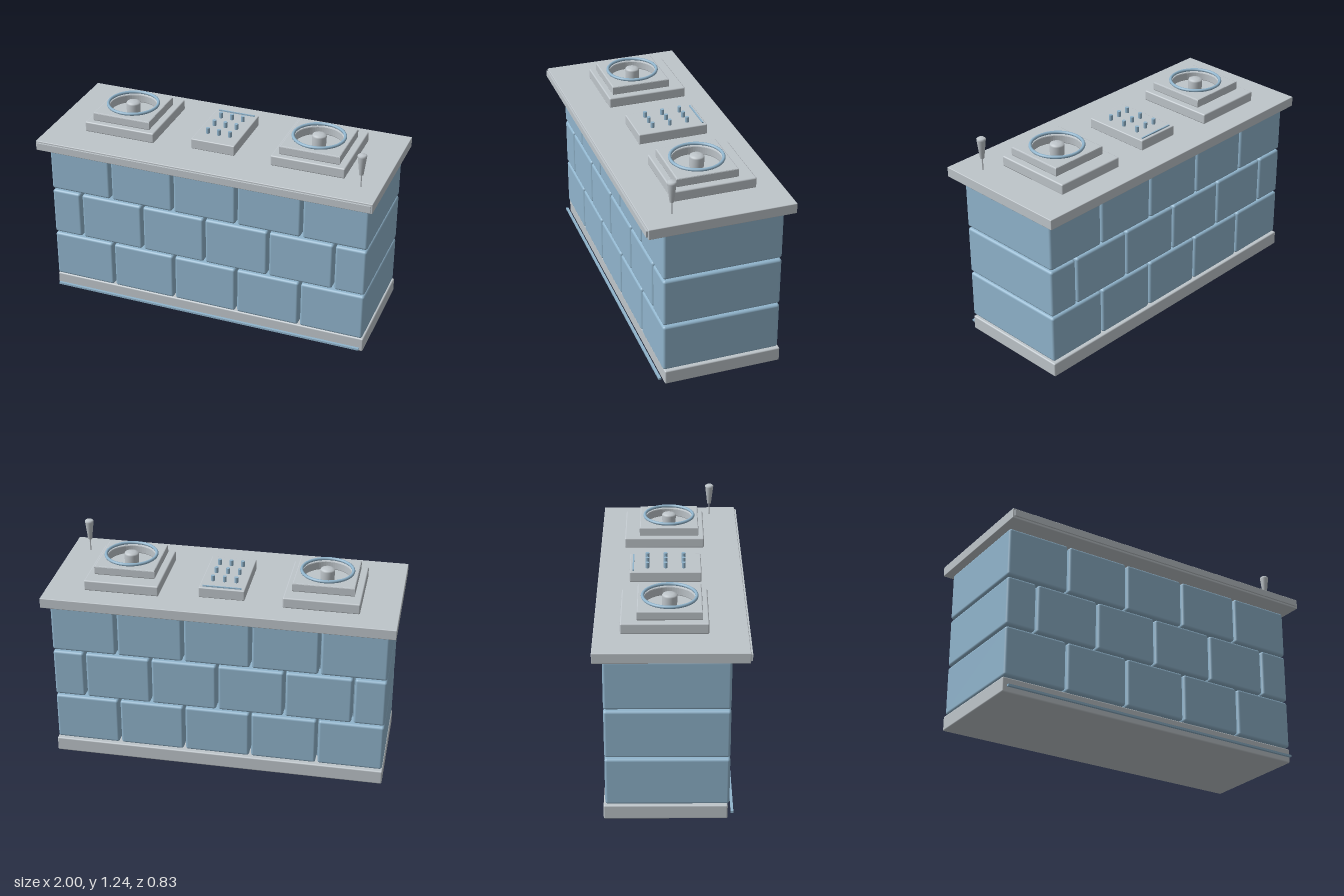
import * as THREE from 'three';
import { RoundedBoxGeometry } from 'three/addons/geometries/RoundedBoxGeometry.js';

const blue = new THREE.MeshStandardMaterial({ color: 0x90b4cc });
blue.name = 'soft blue';
const grey = new THREE.MeshStandardMaterial({ color: 0xbec5ca });
grey.name = 'light grey';

function add(parent, name, geometry, material, x = 0, y = 0, z = 0) {
  const mesh = new THREE.Mesh(geometry, material);
  mesh.name = name;
  mesh.position.set(x, y, z);
  parent.add(mesh);
  return mesh;
}

// Box given by its extents, with softly rounded edges when r > 0
function box(parent, name, material, [x0, x1], [y0, y1], [z0, z1], r = 0) {
  const size = [x1 - x0, y1 - y0, z1 - z0];
  const geometry = r ? new RoundedBoxGeometry(...size, 3, r) : new THREE.BoxGeometry(...size);
  return add(parent, name, geometry, material, (x0 + x1) / 2, (y0 + y1) / 2, (z0 + z1) / 2);
}

function rectangle(w, d) {
  return new THREE.Shape([
    new THREE.Vector2(-w / 2, -d / 2), new THREE.Vector2(w / 2, -d / 2),
    new THREE.Vector2(w / 2, d / 2), new THREE.Vector2(-w / 2, d / 2),
  ]);
}

// Stepped speaker with a sunken bowl, a rim and a centre cap
function createTurntable(x) {
  const g = new THREE.Group();
  g.name = 'speaker';
  g.position.set(x, 0, -0.01);
  box(g, 'speakerBase', grey, [-0.215, 0.215], [1.04, 1.102], [-0.263, 0.208], 0.008);

  const plate = rectangle(0.338, 0.338);
  plate.holes.push(new THREE.Path().absarc(0, 0, 0.143, 0, Math.PI * 2, true));
  const plateGeo = new THREE.ExtrudeGeometry(plate, {
    depth: 0.04, bevelThickness: 0.006, bevelSize: 0.006, bevelSegments: 2, curveSegments: 32,
  });
  plateGeo.rotateX(-Math.PI / 2);
  add(g, 'speakerPlate', plateGeo, grey, 0, 1.107, 0);

  const rim = new THREE.TorusGeometry(0.146, 0.009, 10, 48);
  rim.rotateX(Math.PI / 2);
  add(g, 'speakerRim', rim, blue, 0, 1.165, 0);

  const bowl = [];
  for (let i = 0; i <= 10; i++) {
    const a = (i / 10) * Math.PI / 2;
    bowl.push(new THREE.Vector2(0.142 * Math.sin(a), 1.17 - 0.062 * Math.cos(a)));
  }
  add(g, 'speakerBowl', new THREE.LatheGeometry(bowl, 48), grey);

  const cap = [[0.04, 1.108], [0.042, 1.165], [0.038, 1.173], [0.022, 1.178], [0, 1.18]];
  add(g, 'speakerCap', new THREE.LatheGeometry(cap.map(p => new THREE.Vector2(...p)), 32), grey);
  return g;
}

export function createModel() {
  const model = new THREE.Group();
  model.name = 'musicBooth';

  // Plinth with a light strip in front
  box(model, 'plinth', grey, [-0.968, 0.966], [0, 0.086], [-0.373, 0.305], 0.008);
  box(model, 'plinthStrip', blue, [-0.95, 0.95], [0.025, 0.037], [0.322, 0.337]);

  // Core behind the blocks and the staggered courses
  box(model, 'core', blue, [-0.885, 0.885], [0.08, 0.91], [-0.273, 0.225]);
  const even = [-0.97, -0.584, -0.195, 0.193, 0.58, 0.966];
  const odd = [-0.97, -0.78, -0.39, -0.002, 0.386, 0.774, 0.966];
  [even, odd, even].forEach((joints, row) => {
    const y = 0.092 + row * 0.2965;
    for (let i = 0; i < joints.length - 1; i++) {
      box(model, 'block', blue, [joints[i] + 0.006, joints[i + 1] - 0.006],
        [y, y + 0.287], [-0.363, 0.314], 0.015);
    }
  });

  // Counter top with a front edge strip
  box(model, 'counterTop', grey, [-1, 1], [0.98, 1.04], [-0.416, 0.407], 0.004);
  box(model, 'counterEdgeStrip', grey, [-0.99, 0.99], [0.992, 1.03], [0.4, 0.417]);

  // Two speakers
  model.add(createTurntable(-0.57), createTurntable(0.565));

  // Mixer with a grid of knobs
  const mixer = new THREE.Group();
  mixer.name = 'mixer';
  model.add(mixer);
  box(mixer, 'mixerBody', grey, [-0.135, 0.127], [1.04, 1.102], [-0.235, 0.172], 0.006);
  box(mixer, 'mixerStrip', blue, [-0.115, 0.107], [1.1, 1.109], [-0.219, -0.211]);
  for (const x of [-0.071, -0.004, 0.063]) {
    for (const z of [-0.135, -0.031, 0.072]) {
      add(mixer, 'knob', new THREE.CylinderGeometry(0.011, 0.011, 0.035, 16), blue, x, 1.1175, z);
    }
  }

  // Microphone on a thin stem
  const mic = new THREE.Group();
  mic.name = 'microphone';
  mic.position.set(0.885, 0, 0.243);
  model.add(mic);
  add(mic, 'microphoneStem', new THREE.CylinderGeometry(0.004, 0.004, 0.08, 12), grey, 0, 1.076, 0);
  const head = [[0, 1.112], [0.012, 1.113], [0.025, 1.222], [0.026, 1.23], [0.02, 1.236], [0, 1.238]];
  add(mic, 'microphoneHead', new THREE.LatheGeometry(head.map(p => new THREE.Vector2(...p)), 24), grey);

  return model;
}
